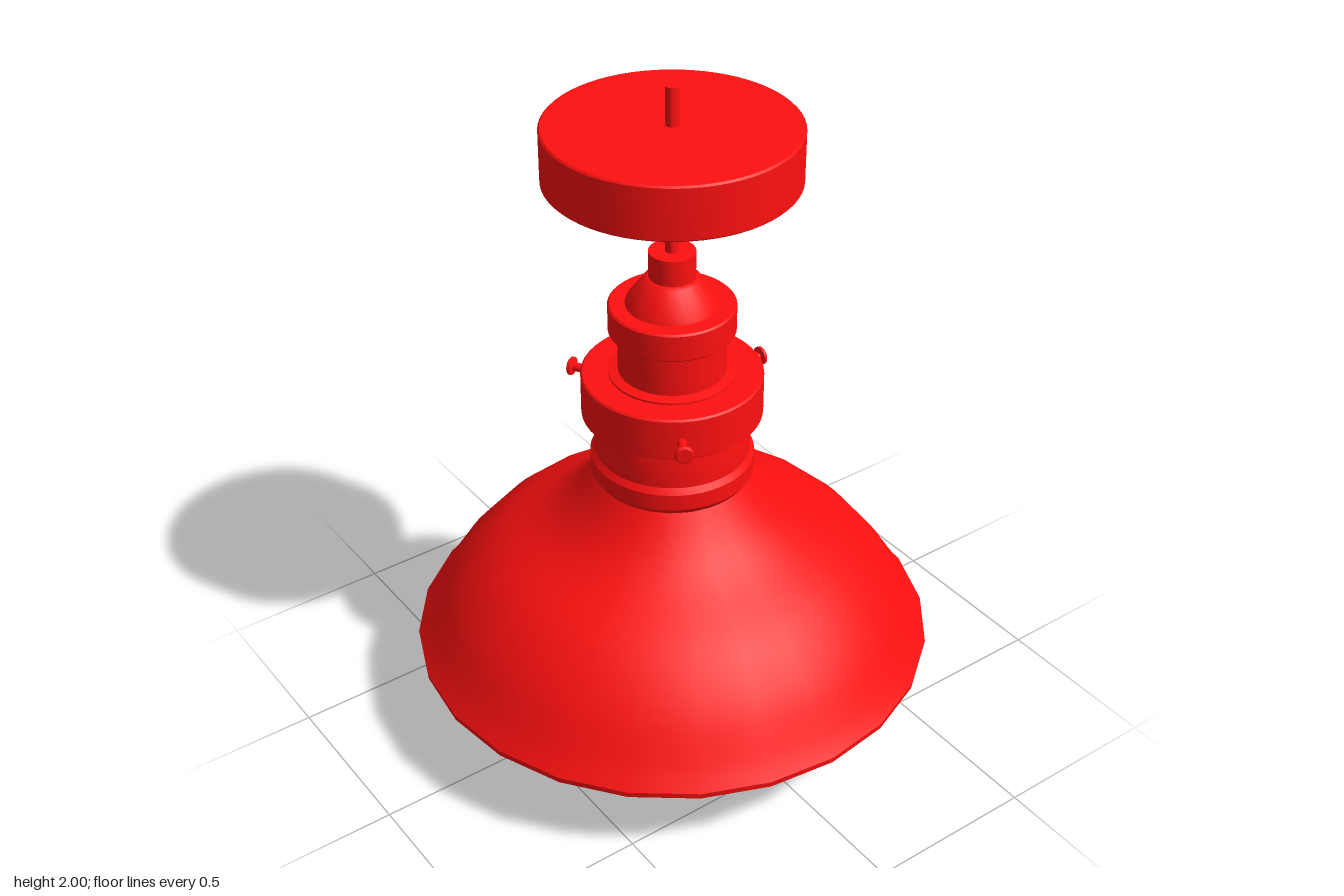
import * as THREE from 'three';
import { toCreasedNormals } from 'three/addons/utils/BufferGeometryUtils.js';

const red = new THREE.MeshStandardMaterial({ color: 0xff1010 });
const redThin = new THREE.MeshStandardMaterial({ color: 0xff1010, side: THREE.DoubleSide });

// Turned part from [radius, height] pairs, listed upwards along the outside
function turned(name, profile, sides = 48, crease = 0.55, material = red) {
  const points = profile.map(([r, y]) => new THREE.Vector2(r, y));
  const geometry = toCreasedNormals(new THREE.LatheGeometry(points, sides), crease);
  const mesh = new THREE.Mesh(geometry, material);
  mesh.name = name;
  return mesh;
}

// Points of a smooth curve through a few [radius, height] pairs
function smooth(pairs, count) {
  const curve = new THREE.SplineCurve(pairs.map(([r, y]) => new THREE.Vector2(r, y)));
  return curve.getPoints(count).map((p) => [Math.max(p.x, 0), p.y]);
}

// Thumb screw lying along +z, with a shaft and a flat head
function thumbScrew() {
  const screw = turned('thumbScrew', [
    [0, 0.22], [0.013, 0.22], [0.013, 0.306], [0.027, 0.31], [0.027, 0.318], [0.022, 0.322], [0, 0.322],
  ], 16);
  screw.geometry.rotateX(Math.PI / 2);
  screw.position.y = 1.07;
  return screw;
}

export function createModel() {
  const lamp = new THREE.Group();
  lamp.name = 'pendantLamp';

  // Ceiling plate and hanging rod
  lamp.add(turned('ceilingPlate', [
    [0, 1.735], [0.343, 1.735], [0.348, 1.74], [0.348, 1.885], [0.343, 1.89], [0, 1.89],
  ], 64));
  lamp.add(turned('rod', [[0, 1.48], [0.019, 1.48], [0.019, 2], [0, 2]], 24));

  // Stepped cap, with a cone below the rod sleeve
  lamp.add(turned('rodSleeve', [[0, 1.43], [0.065, 1.43], [0.065, 1.52], [0, 1.52]], 32));
  lamp.add(turned('capCone', [[0, 1.35], [0.133, 1.35], [0.127, 1.37], [0.078, 1.437], [0.065, 1.443], [0, 1.443]]));
  lamp.add(turned('capCollar', [
    [0, 1.275], [0.173, 1.275], [0.178, 1.28], [0.178, 1.355], [0.173, 1.36], [0, 1.36],
  ]));

  // Socket neck, clamp ring and lower sleeve
  lamp.add(turned('socketNeck', [[0, 1.1], [0.18, 1.1], [0.18, 1.146], [0.152, 1.152], [0.152, 1.28], [0, 1.28]]));
  lamp.add(turned('clampRing', [
    [0, 1.01], [0.252, 1.01], [0.257, 1.015], [0.257, 1.135], [0.252, 1.14], [0, 1.14],
  ]));
  lamp.add(turned('lowerSleeve', [
    [0, 0.8], [0.222, 0.805], [0.235, 0.825], [0.235, 0.875], [0.222, 0.892], [0.222, 0.99], [0.215, 1.015], [0, 1.015],
  ]));

  // One screw at the back and one on each side of the front
  for (let i = 0; i < 3; i++) {
    const screw = thumbScrew();
    screw.rotation.y = Math.PI + (i * Math.PI * 2) / 3;
    lamp.add(screw);
  }

  // Bell shade: inner wall downwards, rim, then outer wall upwards
  const outer = smooth([
    [0.74, 0.287], [0.7, 0.35], [0.655, 0.42], [0.59, 0.495], [0.52, 0.556],
    [0.44, 0.606], [0.37, 0.65], [0.31, 0.7], [0.26, 0.757], [0.215, 0.82],
  ], 18);
  const inner = outer.map(([r, y]) => [r - 0.012, y - 0.012]).reverse();
  lamp.add(turned('shade', [
    [0, 0.808], ...inner, [0.752, 0.255], [0.752, 0.238], [0.763, 0.238], [0.765, 0.256], ...outer,
  ], 24, 0.6, redThin));

  // Bulb tapering up into the socket
  lamp.add(turned('bulb', smooth([
    [0, 0], [0.09, 0.017], [0.175, 0.071], [0.23, 0.15], [0.245, 0.235],
    [0.232, 0.33], [0.2, 0.46], [0.168, 0.6], [0.145, 0.72], [0.135, 0.82],
  ], 28), 40));

  return lamp;
}
